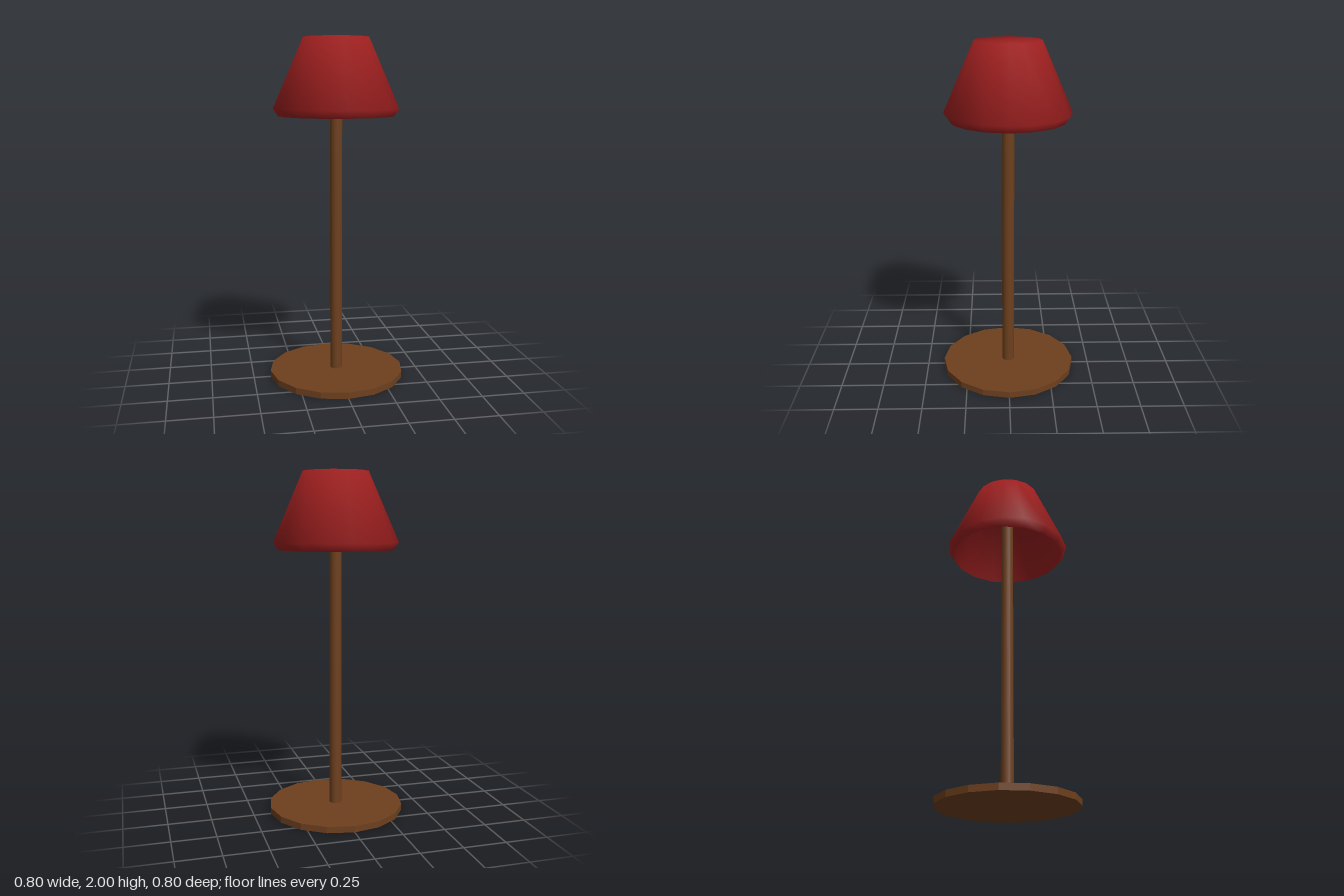
import * as THREE from 'three';
import { toCreasedNormals } from 'three/addons/utils/BufferGeometryUtils.js';

const SIDES = 16;

// Lathe whose normals blend neighbouring profile segments equally, for soft shading
function softLathe(profile) {
  const points = profile.map(([r, y]) => new THREE.Vector2(r, y));
  const geometry = new THREE.LatheGeometry(points, SIDES);
  const segments = points.slice(1).map((p, i) =>
    new THREE.Vector2(p.y - points[i].y, points[i].x - p.x).normalize());
  const blended = points.map((_, i) =>
    (segments[i - 1] ?? segments[i]).clone().add(segments[i] ?? segments[i - 1]).normalize());
  const normal = geometry.attributes.normal;
  for (let i = 0; i < normal.count; i++) {
    const n = blended[i % points.length];
    const angle = Math.floor(i / points.length) * 2 * Math.PI / SIDES;
    normal.setXYZ(i, n.x * Math.sin(angle), n.y, n.x * Math.cos(angle));
  }
  return geometry;
}

export function createModel() {
  const lamp = new THREE.Group();
  lamp.name = 'tableLamp';

  const wood = new THREE.MeshStandardMaterial({ color: 0x6e401e });
  wood.name = 'brown wood';
  const fabric = new THREE.MeshStandardMaterial({ color: 0x9a1e1e });
  fabric.name = 'red fabric';

  const add = (name, geometry, material, parent = lamp) => {
    const mesh = new THREE.Mesh(geometry, material);
    mesh.name = name;
    parent.add(mesh);
    return mesh;
  };

  // Faceted round foot
  const foot = toCreasedNormals(new THREE.CylinderGeometry(0.4, 0.4, 0.037, SIDES), 0.3);
  add('base', foot, wood).position.y = 0.0185;

  // Slim post running up into the shade
  add('pole', new THREE.CylinderGeometry(0.036, 0.036, 1.9, SIDES), wood).position.y = 0.98;

  // Thick shade: closed outer skin with a turned-in lip, and an inner lining
  const shade = new THREE.Group();
  shade.name = 'shade';
  lamp.add(shade);
  add('shadeSkin', softLathe([[0.335, 1.557], [0.365, 1.6], [0.19, 2], [0, 2]]), fabric, shade);
  add('shadeLining', softLathe([[0, 1.95], [0.172, 1.95], [0.335, 1.557]]), fabric, shade);

  return lamp;
}
